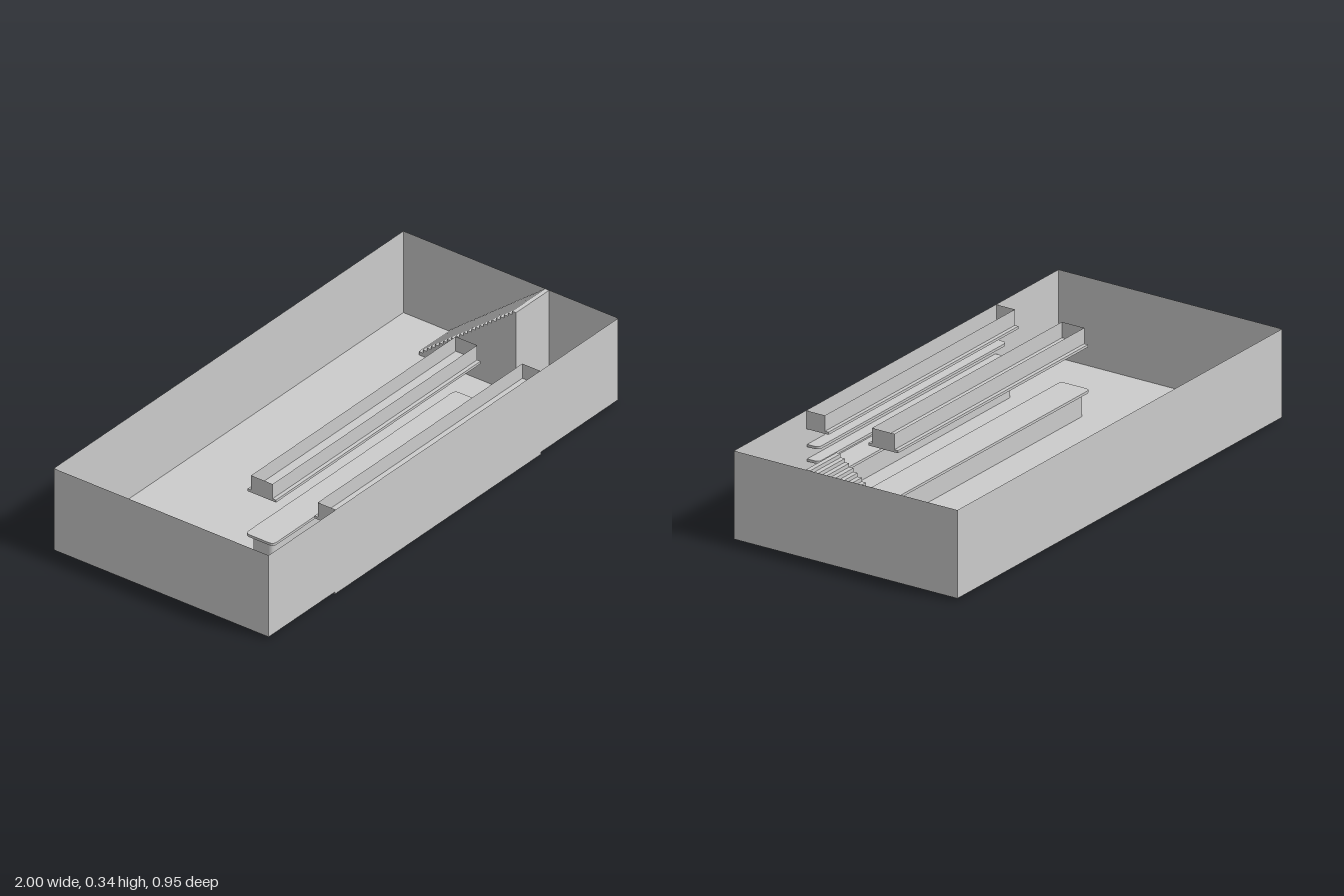
import * as THREE from 'three';

const mat = new THREE.MeshStandardMaterial({ color: 0xcccccc, side: THREE.DoubleSide, flatShading: true });
const WALL_Z = 0.475;
const FLOOR_Y = 0.01;
const TOP_Y = 0.345;

function add(parent, name, geometry) {
  const mesh = new THREE.Mesh(geometry, mat);
  mesh.name = name;
  parent.add(mesh);
  return mesh;
}

// Box given by its limits; openTop drops the upper face
function box([x0, x1], [y0, y1], [z0, z1], openTop = false) {
  const g = new THREE.BoxGeometry(x1 - x0, y1 - y0, z1 - z0);
  g.translate((x0 + x1) / 2, (y0 + y1) / 2, (z0 + z1) / 2);
  if (openTop) {
    const index = Array.from(g.index.array);
    index.splice(12, 6);
    g.setIndex(index);
    g.clearGroups();
  }
  return g;
}

// Horizontal slab with rounded corners; the front pair may stay square against the wall
function slab([x0, x1], [y0, y1], [z0, z1], r, frontR = r) {
  const s = new THREE.Shape();
  s.moveTo(x0 + r, z0);
  s.lineTo(x1 - r, z0);
  s.quadraticCurveTo(x1, z0, x1, z0 + r);
  s.lineTo(x1, z1 - frontR);
  if (frontR) s.quadraticCurveTo(x1, z1, x1 - frontR, z1);
  s.lineTo(x0 + frontR, z1);
  if (frontR) s.quadraticCurveTo(x0, z1, x0, z1 - frontR);
  s.lineTo(x0, z0 + r);
  s.quadraticCurveTo(x0, z0, x0 + r, z0);
  const g = new THREE.ExtrudeGeometry(s, { depth: y1 - y0, bevelEnabled: false, curveSegments: 4 });
  return g.rotateX(Math.PI / 2).translate(0, y1, 0);
}

// Counter with a base, and a hollow canopy with a flange above it
function barUnit(name, zBase, zTop, zCanopy, againstWall) {
  const unit = new THREE.Group();
  unit.name = name;
  const r = 0.02;
  const fr = againstWall ? 0 : r;
  add(unit, 'counterBase', slab([-0.62, 0.56], [0, 0.1], zBase, r, fr));
  add(unit, 'counterTop', slab([-0.63, 0.57], [0.1, 0.11], zTop, r, fr));
  add(unit, 'canopyFlange', box([-0.615, 0.555], [0.275, 0.285], zTop));
  add(unit, 'canopyBox', box([-0.615, 0.555], [0.28, TOP_Y], zCanopy, true));
  return unit;
}

// Solid flight of steps rising toward +z along the left wall
function staircase() {
  const steps = 24, z0 = -0.26, z1 = 0.17;
  const run = (z1 - z0) / steps, rise = (TOP_Y - FLOOR_Y) / steps;
  const s = new THREE.Shape();
  s.moveTo(z0, FLOOR_Y);
  s.lineTo(z1, FLOOR_Y);
  s.lineTo(z1, TOP_Y);
  for (let i = steps - 1; i >= 0; i--) {
    s.lineTo(z0 + i * run, FLOOR_Y + (i + 1) * rise);
    if (i > 0) s.lineTo(z0 + i * run, FLOOR_Y + i * rise);
  }
  const g = new THREE.ExtrudeGeometry(s, { depth: 0.189, bevelEnabled: false });
  // shape x runs along z, extrusion runs toward -x
  return g.rotateY(-Math.PI / 2).translate(0.999, 0, 0);
}

export function createModel() {
  const group = new THREE.Group();
  group.name = 'barRoom';

  // Floor and four thin walls, no ceiling
  add(group, 'roomShell', box([-1, 1], [FLOOR_Y, TOP_Y], [-WALL_Z, WALL_Z], true));

  // Free-standing bar and the one against the front wall
  const zIn = WALL_Z - 0.001;
  group.add(barUnit('mainBar', [0.105, 0.195], [0.085, 0.21], [0.1, 0.195], false));
  group.add(barUnit('wallBar', [0.41, zIn], [0.38, zIn], [0.395, zIn], true));

  // Wall shelves between counter and canopy
  for (const y of [0.15, 0.205]) {
    add(group, 'wallShelf', slab([-0.61, 0.55], [y, y + 0.01], [0.425, zIn], 0.02, 0));
  }

  add(group, 'staircase', staircase());
  return group;
}
